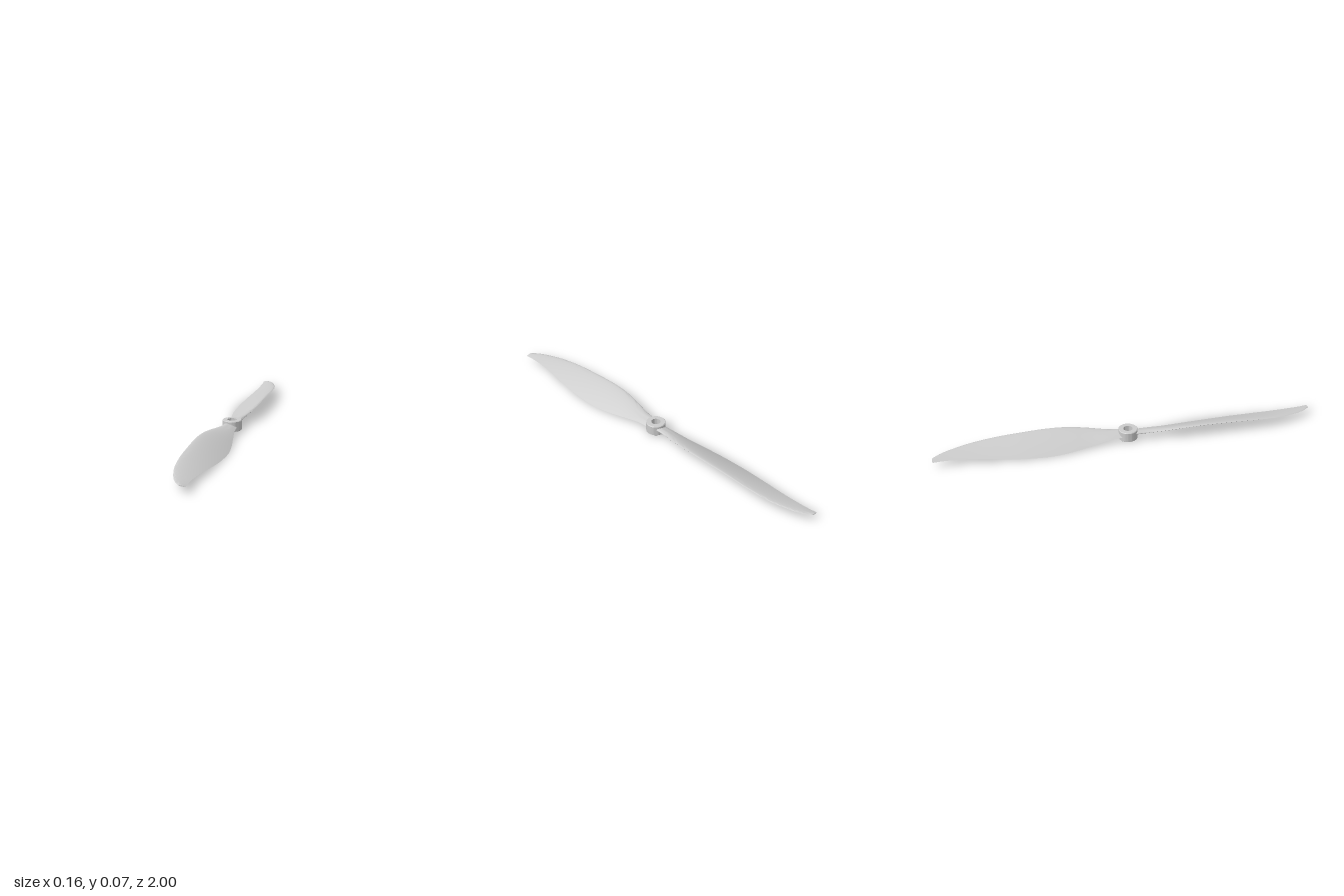
import * as THREE from 'three';
import { toCreasedNormals } from 'three/addons/utils/BufferGeometryUtils.js';

const material = new THREE.MeshStandardMaterial({ color: 0xcccccc });

// Blade stations: z, leading edge x, y, trailing edge x, y, thickness
const stations = [
  [0.03, -0.034, 0.037, 0.034, 0.027, 0.016],
  [0.10, -0.040, 0.041, 0.038, 0.025, 0.016],
  [0.20, -0.060, 0.054, 0.053, 0.013, 0.015],
  [0.30, -0.074, 0.065, 0.070, 0.004, 0.014],
  [0.41, -0.079, 0.069, 0.080, 0.000, 0.013],
  [0.55, -0.079, 0.065, 0.076, 0.005, 0.012],
  [0.68, -0.077, 0.058, 0.062, 0.014, 0.010],
  [0.80, -0.066, 0.049, 0.047, 0.023, 0.008],
  [0.90, -0.041, 0.042, 0.040, 0.029, 0.006],
  [0.96, -0.016, 0.039, 0.040, 0.031, 0.005],
  [1.00, 0.012, 0.037, 0.044, 0.032, 0.004],
];

// Smooth interpolation of all station values
function stationAt(t) {
  const f = t * (stations.length - 1);
  const i = Math.min(Math.floor(f), stations.length - 2);
  const at = (j) => stations[THREE.MathUtils.clamp(j, 0, stations.length - 1)];
  const w = f - i;
  return stations[i].map((_, c) => {
    const [a, b, d, e] = [at(i - 1)[c], at(i)[c], at(i + 1)[c], at(i + 2)[c]];
    const m0 = (d - a) / 2, m1 = (e - b) / 2;
    return b + w * (m0 + w * (3 * (d - b) - 2 * m0 - m1 + w * (2 * (b - d) + m0 + m1)));
  });
}

// Loft of twisted airfoil sections, from the hub to a squared tip
function bladeGeometry(rows = 60, cols = 28) {
  const pos = [], index = [];
  for (let i = 0; i <= rows; i++) {
    const [z, lx, ly, tx, ty, thick] = stationAt(i / rows);
    const chord = Math.hypot(tx - lx, ty - ly);
    const nx = (ly - ty) / chord, ny = (tx - lx) / chord;
    for (let k = 0; k < cols; k++) {
      const a = (k / cols) * Math.PI * 2;
      const u = (1 + Math.cos(a)) / 2; // 1 trailing edge, 0 leading edge
      const bulge = Math.sqrt(u) * (1 - u) * 2.6 * thick;
      const off = bulge * (k < cols / 2 ? 0.75 : -0.25);
      pos.push(lx + (tx - lx) * u + nx * off, ly + (ty - ly) * u + ny * off, z);
    }
  }
  for (let i = 0; i < rows; i++) {
    for (let k = 0; k < cols; k++) {
      const k1 = (k + 1) % cols;
      const a = i * cols + k, b = i * cols + k1, c = b + cols, d = a + cols;
      index.push(a, b, c, a, c, d);
    }
  }
  // Tip cap
  const tip = rows * cols;
  for (let k = 1; k < cols - 1; k++) index.push(tip, tip + k, tip + k + 1);
  const geo = new THREE.BufferGeometry();
  geo.setAttribute('position', new THREE.Float32BufferAttribute(pos, 3));
  geo.setIndex(index);
  return toCreasedNormals(geo, Math.PI / 3);
}

export function createModel() {
  const propeller = new THREE.Group();
  propeller.name = 'propeller';

  // Hub ring with a shaft hole and small bevels
  const profile = [
    [0.024, 0.004], [0.047, 0.004], [0.050, 0.007], [0.050, 0.055],
    [0.047, 0.058], [0.024, 0.058], [0.024, 0.004],
  ].map(([r, y]) => new THREE.Vector2(r, y));
  const hub = new THREE.Mesh(toCreasedNormals(new THREE.LatheGeometry(profile, 48), 0.6), material);
  hub.name = 'hub';
  propeller.add(hub);

  // Two blades, half a turn apart
  const geometry = bladeGeometry();
  ['frontBlade', 'backBlade'].forEach((name, i) => {
    const blade = new THREE.Mesh(geometry, material);
    blade.name = name;
    blade.rotation.y = i * Math.PI;
    propeller.add(blade);
  });
  return propeller;
}
